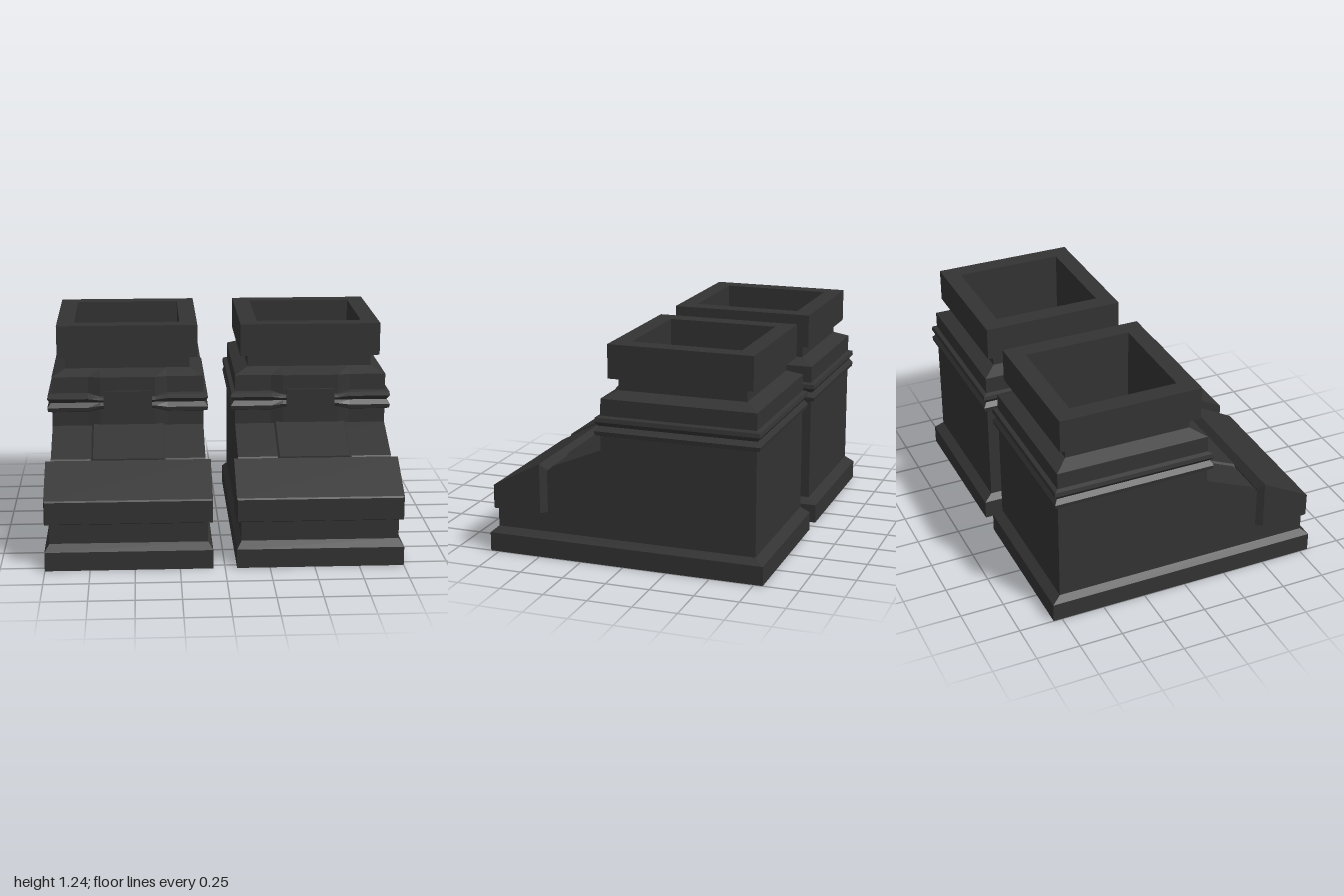
import * as THREE from 'three';

const leather = new THREE.MeshStandardMaterial({ color: 0x333333 });
leather.name = 'charcoal leather';

// Skin a list of equal-length rings with flat faces; optional end caps
function loft(rings, startCap = true, endCap = true) {
  const pos = [];
  const tri = (a, b, c) => pos.push(...a, ...b, ...c);
  const n = rings[0].length;
  for (let k = 0; k < rings.length - 1; k++) {
    for (let i = 0; i < n; i++) {
      const j = (i + 1) % n;
      const a = rings[k][i], b = rings[k][j], c = rings[k + 1][j], d = rings[k + 1][i];
      tri(a, b, c);
      tri(a, c, d);
    }
  }
  const first = rings[0], last = rings[rings.length - 1];
  for (let i = 1; i < n - 1; i++) {
    if (startCap) tri(first[0], first[i + 1], first[i]);
    if (endCap) tri(last[0], last[i], last[i + 1]);
  }
  const g = new THREE.BufferGeometry();
  g.setAttribute('position', new THREE.Float32BufferAttribute(pos, 3));
  g.computeVertexNormals();
  return g;
}

// Horizontal rectangle ring
const flatRing = (y, h, zb, zf) => [[-h, y, zf], [h, y, zf], [h, y, zb], [-h, y, zb]];

// Horizontal ring whose front middle can bulge and pinch towards the clasp
function shaftRing([y, h, zb, zf, bulge = 0, pinch = 1]) {
  const ym = 0.79 + (y - 0.79) * pinch, zm = zf + bulge;
  return [
    [-h, y, zf], [-0.23, y, zf], [-0.16, ym, zm], [0.16, ym, zm], [0.23, y, zf], [h, y, zf],
    [h, y, zb], [-h, y, zb],
  ];
}

function makeBoot() {
  const boot = new THREE.Group();
  const add = (name, geometry) => {
    const m = new THREE.Mesh(geometry, leather);
    m.name = name;
    boot.add(m);
    return m;
  };

  // Sole with sloped upper edge
  add('sole', loft([
    flatRing(0, 0.467, -0.8, 0.8),
    flatRing(0.108, 0.467, -0.8, 0.8),
    flatRing(0.145, 0.44, -0.75, 0.757),
  ]));

  // Foot and heel, extruded from the side profile
  const side = new THREE.Shape([
    [-0.75, 0.14], [0.757, 0.14], [0.757, 0.3], [0.46, 0.49],
    [0.42, 0.53], [0.135, 0.65], [-0.75, 0.65],
  ].map(([z, y]) => new THREE.Vector2(z, y)));
  const foot = new THREE.ExtrudeGeometry(side, { depth: 0.88, bevelEnabled: false });
  foot.rotateY(-Math.PI / 2).translate(0.44, 0, 0);
  add('foot', foot);

  // Raised strip down the instep
  add('instepStrip', loft([[0.13, 0.664], [0.435, 0.534]].map(([z, y]) => [
    [-0.23, y - 0.03, z], [0.23, y - 0.03, z], [0.2, y, z], [-0.2, y, z],
  ])));

  // Toe cap with bevelled rear edge
  add('toeCap', loft([
    [0.455, 0.44, 0.26, 0.503],
    [0.49, 0.467, 0.257, 0.542],
    [0.765, 0.467, 0.257, 0.395],
    [0.773, 0.462, 0.262, 0.387],
  ].map(([z, h, y0, y1]) => [[-h, y0, z], [h, y0, z], [h, y1, z], [-h, y1, z]])));

  // Shaft: ankle, twin bands, neck, collar, then down the hollow to its floor
  add('shaft', loft([
    [0.65, 0.44, -0.75, 0.133, 0.013],
    [0.732, 0.44, -0.75, 0.133, 0.013, 0.65],
    [0.74, 0.463, -0.772, 0.155, 0, 0.65],
    [0.763, 0.467, -0.776, 0.16, 0, 0.65],
    [0.79, 0.447, -0.757, 0.142, 0, 0.65],
    [0.815, 0.467, -0.776, 0.16, 0, 0.65],
    [0.838, 0.463, -0.772, 0.155, 0, 0.65],
    [0.846, 0.44, -0.75, 0.133, 0.013, 0.65],
    [0.94, 0.44, -0.75, 0.13, 0.015],
    [0.975, 0.363, -0.672, 0.055],
    [1.046, 0.363, -0.672, 0.055],
    [1.046, 0.408, -0.718, 0.1],
    [1.235, 0.408, -0.718, 0.1],
    [1.235, 0.306, -0.62, 0],
    [0.66, 0.306, -0.62, 0],
  ].map(shaftRing), false, true));

  // Square clasp plate where the bands meet
  add('claspPlate', new THREE.BoxGeometry(0.28, 0.15, 0.05)).position.set(0, 0.785, 0.14);
  return boot;
}

export function createModel() {
  const model = new THREE.Group();
  model.name = 'pairOfBoots';
  for (const s of [1, -1]) {
    const boot = makeBoot();
    boot.name = s > 0 ? 'leftBoot' : 'rightBoot';
    boot.position.x = s * 0.533;
    model.add(boot);
  }
  return model;
}
